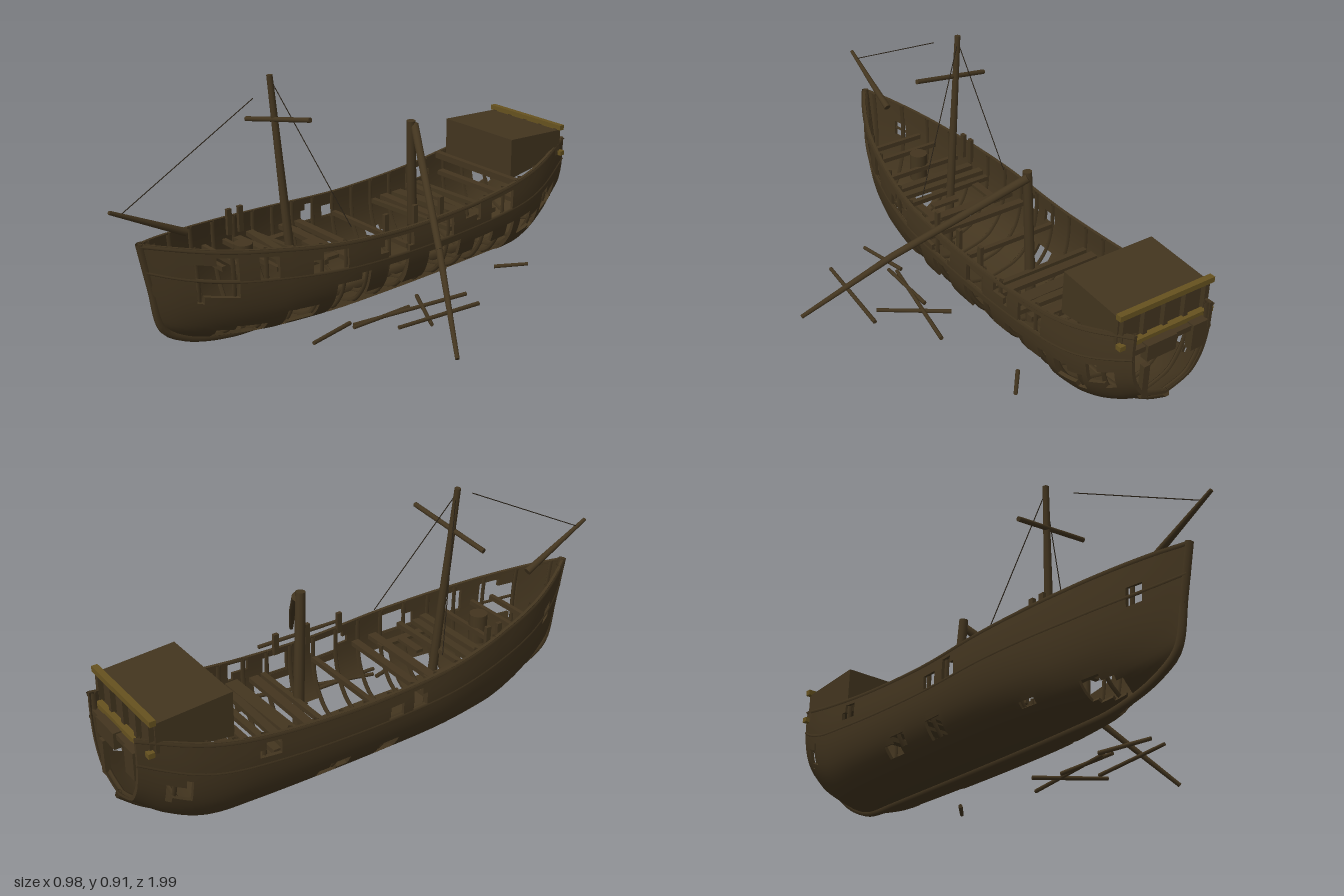
import * as THREE from 'three';

const CX = -0.245; // hull centreline
const V = (x, y, z) => new THREE.Vector3(x, y, z);

// Piecewise interpolation through [key, value] pairs, smoothed between them
function table(pairs) {
  const at = (i) => pairs[Math.max(0, Math.min(pairs.length - 1, i))];
  return (k) => {
    let i = 0;
    while (i < pairs.length - 2 && k > pairs[i + 1][0]) i++;
    const [k1, p1] = at(i), [k2, p2] = at(i + 1), h = k2 - k1;
    const u = Math.max(0, Math.min(1, (k - k1) / h));
    const slope = (a, b) => (b[1] - a[1]) / (b[0] - a[0] || 1);
    const m1 = h * slope(at(i - 1), at(i + 1)), m2 = h * slope(at(i), at(i + 2));
    const u2 = u * u, u3 = u2 * u;
    return (2 * u3 - 3 * u2 + 1) * p1 + (u3 - 2 * u2 + u) * m1 + (3 * u2 - 2 * u3) * p2 + (u3 - u2) * m2;
  };
}

// Hull lines along z, and the shape of one frame from keel (t = 0) to rail (t = 1)
const STERN = -0.985, BOW = 0.83;
const halfBreadth = table([[-0.985, 0.165], [-0.8, 0.218], [-0.6, 0.24], [0, 0.243], [0.2, 0.237], [0.4, 0.205], [0.55, 0.163], [0.65, 0.122], [0.75, 0.065], [0.83, 0.008]]);
const sheer = table([[-0.985, 0.46], [-0.75, 0.39], [-0.5, 0.35], [-0.2, 0.332], [0, 0.335], [0.3, 0.36], [0.6, 0.405], [0.83, 0.46]]);
const keelLine = table([[-0.985, 0.16], [-0.88, 0.075], [-0.75, 0.018], [-0.6, 0.012], [0.5, 0.012], [0.66, 0.035], [0.76, 0.07], [0.83, 0.12]]);
const frameX = table([[0, 0], [0.2, 0.33], [0.38, 0.64], [0.55, 0.86], [0.7, 0.965], [0.85, 1], [1, 0.99]]);
const frameY = table([[0, 0], [0.2, 0.055], [0.38, 0.14], [0.55, 0.32], [0.7, 0.53], [0.85, 0.77], [1, 1]]);

function hullPoint(side, z, t, inset = 0) {
  const bow = Math.max(0, (z - 0.45) / (BOW - 0.45));
  const x = halfBreadth(z) * Math.pow(Math.max(0, frameX(t)), 1 + 0.8 * bow);
  const y = keelLine(z) + (sheer(z) - keelLine(z)) * frameY(t);
  return V(CX + side * Math.max(0, x - inset * Math.min(1, t * 2)), y + inset * (1 - t), z + 0.07 * t * bow);
}

// Planking of one side with missing cells, given thickness and closed edges
function planking(side, holes, patches) {
  const NI = 90, NJ = 20, pos = [], idx = [];
  const inside = (list, p) => list.some(([a, b, c, d]) => p.z > a && p.z < b && p.y > c && p.y < d);
  const zAt = (i) => STERN + (BOW - STERN) * i / NI;
  const solid = (i, j) => {
    if (i < 0 || j < 0 || i >= NI || j >= NJ) return false;
    const p = hullPoint(side, zAt(i + 0.5), (j + 0.5) / NJ);
    return !inside(holes, p) || inside(patches, p);
  };
  const quad = (a, b, c, d, flip) => idx.push(...(flip ? [a, b, c, a, c, d] : [a, d, c, a, c, b]));
  for (const inset of [0, 0.012])
    for (let i = 0; i <= NI; i++)
      for (let j = 0; j <= NJ; j++) pos.push(...hullPoint(side, zAt(i), j / NJ, inset).toArray());
  const id = (i, j, l) => l * (NI + 1) * (NJ + 1) + i * (NJ + 1) + j;
  const edge = (i0, j0, i1, j1) => {
    const s = pos.length / 3;
    for (const v of [id(i0, j0, 0), id(i1, j1, 0), id(i1, j1, 1), id(i0, j0, 1)]) pos.push(...pos.slice(v * 3, v * 3 + 3));
    quad(s, s + 1, s + 2, s + 3, side > 0);
  };
  for (let i = 0; i < NI; i++)
    for (let j = 0; j < NJ; j++) {
      if (!solid(i, j)) continue;
      for (const l of [0, 1]) quad(id(i, j, l), id(i + 1, j, l), id(i + 1, j + 1, l), id(i, j + 1, l), (side < 0) !== (l === 1));
      if (!solid(i, j - 1)) edge(i, j, i + 1, j);
      if (!solid(i + 1, j)) edge(i + 1, j, i + 1, j + 1);
      if (!solid(i, j + 1)) edge(i + 1, j + 1, i, j + 1);
      if (!solid(i - 1, j)) edge(i, j + 1, i, j);
    }
  const g = new THREE.BufferGeometry();
  g.setAttribute('position', new THREE.Float32BufferAttribute(pos, 3));
  g.setIndex(idx);
  g.computeVertexNormals();
  return g;
}

export function createModel() {
  const ship = new THREE.Group();
  ship.name = 'shipwreck';
  const mat = (name, color) => Object.assign(new THREE.MeshStandardMaterial({ color }), { name });
  const wood = mat('weatheredWood', 0x43351f);
  wood.side = THREE.DoubleSide;
  const trim = mat('fadedGiltTrim', 0x66521f);
  const rope = mat('tarredRope', 0x2b2318);

  const add = (name, geo, m = wood) => {
    const mesh = new THREE.Mesh(geo, m);
    mesh.name = name;
    ship.add(mesh);
    return mesh;
  };
  const box = (name, w, h, d, x, y, z, m) => {
    const b = add(name, new THREE.BoxGeometry(w, h, d), m);
    b.position.set(x, y, z);
    return b;
  };
  const spar = (name, a, b, r0, r1, m = wood, sides = 10) => {
    const s = add(name, new THREE.CylinderGeometry(r1, r0, a.distanceTo(b), sides), m);
    s.position.copy(a).add(b).multiplyScalar(0.5);
    s.quaternion.setFromUnitVectors(V(0, 1, 0), b.clone().sub(a).normalize());
    return s;
  };
  const bent = (name, pts, r, n = 24, sides = 4) =>
    add(name, new THREE.TubeGeometry(new THREE.CatmullRomCurve3(pts), n, r, sides));

  // Planking: the left side is badly broken, the right has a few openings
  const leftHoles = [
    [-0.64, 0.24, 0.045, 0.2], [-0.62, -0.5, 0.25, 0.33], [-0.92, -0.82, 0.2, 0.27], [-0.3, -0.19, 0.23, 0.3],
    [-0.1, 0.07, 0.23, 0.3], [0.2, 0.34, 0.25, 0.32], [0.3, 0.42, 0.06, 0.13], [0.6, 0.74, 0.23, 0.37],
    [0.46, 0.53, 0.27, 0.35], [0.5, 0.66, 0.04, 0.09], [-0.45, -0.36, 0.28, 0.4], [-0.8, -0.68, 0.13, 0.2],
  ];
  const leftPatches = [[-0.17, -0.08, 0.1, 0.25], [-0.42, -0.33, 0.13, 0.25], [0.03, 0.1, 0.12, 0.25], [-0.6, -0.52, 0.15, 0.22]];
  const rightHoles = [
    [-0.9, -0.82, 0.2, 0.26], [-0.6, -0.53, 0.27, 0.32], [-0.36, -0.24, 0.085, 0.125], [-0.12, -0.04, 0.08, 0.13],
    [-0.1, -0.03, 0.24, 0.29], [0.01, 0.06, 0.24, 0.3], [0.54, 0.65, 0.04, 0.09], [0.3, 0.37, 0.06, 0.09], [0.72, 0.77, 0.28, 0.34],
  ];
  add('leftPlanking', planking(1, leftHoles, leftPatches));
  add('rightPlanking', planking(-1, rightHoles, []));

  // Ribs, wales and rails on both sides
  for (const side of [1, -1]) {
    for (let z = -0.97; z < 0.8; z += 0.098) {
      const pts = [];
      for (let k = 0; k <= 10; k++) pts.push(hullPoint(side, z, k / 10, 0.016));
      bent('rib', pts, 0.009, 20);
    }
    for (const [t, r] of [[0.8, 0.007], [0.985, 0.009]]) {
      const pts = [];
      for (let k = 0; k <= 24; k++) pts.push(hullPoint(side, STERN + (BOW - STERN) * k / 24, t, 0.003));
      bent(t > 0.9 ? 'rail' : 'wale', pts, r, 60);
    }
  }
  for (const z of [-0.25, -0.12, 0.02]) box('brokenRibTop', 0.014, 0.08, 0.02, -0.025, 0.36, z);
  for (const z of [0.43, 0.38]) box('brokenRibTop', 0.014, 0.1, 0.02, -0.42, 0.36, z);

  // Keel and stem
  const keel = [];
  for (let k = 0; k <= 24; k++) {
    const z = STERN + (BOW - STERN) * k / 24;
    keel.push(V(CX, keelLine(z) + 0.004, z));
  }
  keel.push(V(CX, 0.29, 0.865), V(CX, 0.46, 0.897));
  bent('keelAndStem', keel, 0.015, 90, 6);
  bent('keelson', keel.slice(5, 21).map((p) => V(CX, p.y + 0.02, p.z)), 0.02, 40);

  // Deck beams: z, depth along z, tilt
  const beams = [
    [-0.655, 0.03, 0], [-0.53, 0.025, 0.02], [-0.475, 0.03, -0.04], [-0.425, 0.05, 0.05], [-0.345, 0.035, 0], [-0.3, 0.02, 0.03],
    [-0.09, 0.018, 0], [0.09, 0.03, 0], [0.165, 0.035, 0], [0.29, 0.02, 0.06], [0.34, 0.03, -0.05], [0.385, 0.03, 0.04], [0.46, 0.016, 0], [0.57, 0.016, 0], [0.64, 0.016, 0],
  ];
  for (const [z, d, tilt] of beams) {
    const w = 2 * halfBreadth(z) - 0.05;
    box('deckBeam', w, 0.018, d, CX, sheer(z) - 0.085, z).rotation.set(0, tilt, tilt * 0.6);
  }
  for (const x of [-0.38, -0.11]) box('deckPlank', 0.03, 0.012, 0.26, x, 0.262, 0.27);
  box('loosePlank', 0.11, 0.012, 0.03, -0.19, 0.28, 0.22);
  spar('capstan', V(CX, 0.24, 0.49), V(CX, 0.35, 0.49), 0.034, 0.034, wood, 14);

  // Stern cabin with a sloping roof, drawn in side profile
  const profile = new THREE.Shape([[0.66, 0.36], [0.93, 0.4], [0.93, 0.505], [0.66, 0.522]].map(([a, b]) => new THREE.Vector2(a, b)));
  const cabin = add('sternCabin', new THREE.ExtrudeGeometry(profile, { depth: 0.37, bevelEnabled: false }));
  cabin.rotation.y = Math.PI / 2;
  cabin.position.x = -0.43;
  box('cabinTopRail', 0.39, 0.02, 0.022, CX, 0.515, -0.94, trim);
  box('cabinLowerRail', 0.39, 0.018, 0.022, CX, 0.405, -0.95, trim);
  for (let k = 0; k < 5; k++) box('galleryPost', 0.018, 0.1, 0.02, CX - 0.17 + k * 0.085, 0.458, -0.938);
  box('cabinFrontBeam', 0.46, 0.025, 0.025, CX, 0.36, -0.65);

  // Remains of the transom
  box('transomPiece', 0.06, 0.1, 0.03, -0.36, 0.35, -0.975);
  box('transomPiece', 0.12, 0.06, 0.03, -0.2, 0.37, -0.975);
  box('transomBeam', 0.32, 0.02, 0.02, CX, 0.385, -0.97);
  box('transomStub', 0.025, 0.13, 0.02, -0.15, 0.25, -0.975);

  // Masts, yard and bowsprit
  spar('foremast', V(-0.24, 0.03, 0.27), V(-0.304, 0.912, 0.31), 0.019, 0.011);
  spar('foreYard', V(-0.435, 0.725, 0.325), V(-0.11, 0.788, 0.285), 0.009, 0.009);
  spar('mainmastStump', V(-0.228, 0.03, -0.295), V(-0.206, 0.65, -0.262), 0.021, 0.017);
  spar('fallenMastLower', V(-0.2, 0.632, -0.275), V(0.205, 0.318, -0.03), 0.016, 0.013);
  spar('fallenMastUpper', V(0.2, 0.322, -0.033), V(0.483, 0.062, 0.143), 0.013, 0.008);
  spar('bowsprit', V(CX, 0.453, 0.72), V(CX, 0.595, 0.997), 0.014, 0.007);

  // Rigging
  spar('forestay', V(CX, 0.578, 0.955), V(-0.266, 0.855, 0.41), 0.0018, 0.0018, rope, 5);
  spar('rightShroud', V(-0.43, 0.37, 0.17), V(-0.302, 0.89, 0.305), 0.0018, 0.0018, rope, 5);
  spar('leftShroud', V(-0.05, 0.38, 0.16), V(-0.302, 0.89, 0.305), 0.0018, 0.0018, rope, 5);

  // Floating spars beside the wreck
  const debris = [
    [0, 0.045, -0.11, 0.235, 0.06, 0.03], [0.13, 0.06, -0.24, 0.03, 0.045, 0.22], [0.058, 0.05, -0.02, 0.055, 0.05, 0.24],
    [0.01, 0.045, 0.22, 0.056, 0.05, 0.42], [0, 0.045, -0.52, 0.085, 0.055, -0.622], [0.325, 0.132, -0.11, 0.302, 0.145, 0.245],
  ];
  for (const [a, b, c, d, e, f] of debris) spar('floatingSpar', V(a, b, c), V(d, e, f), 0.008, 0.007, wood, 8);
  return ship;
}
